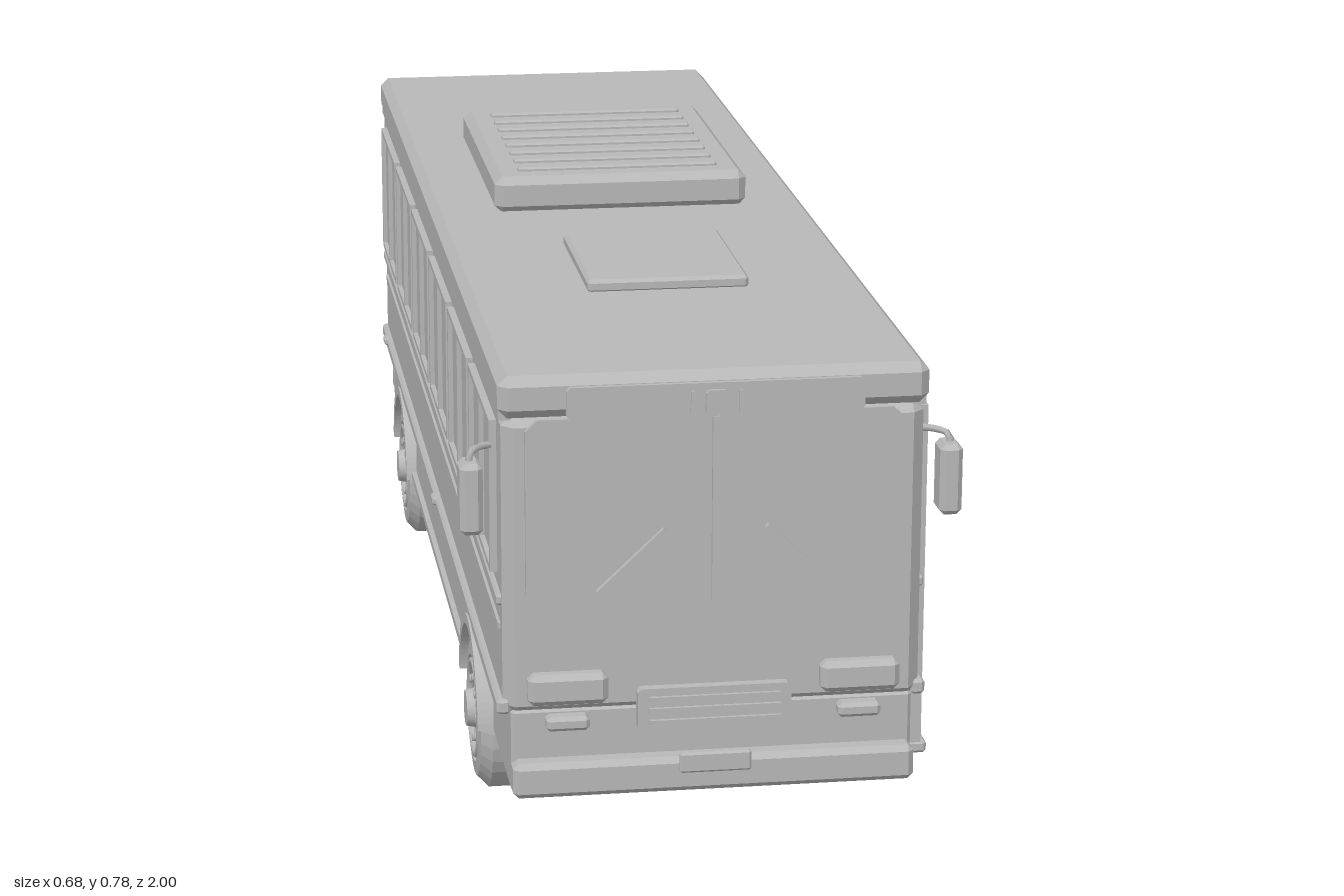
import * as THREE from 'three';
import { ConvexGeometry } from 'three/addons/geometries/ConvexGeometry.js';

const grey = new THREE.MeshStandardMaterial({ color: 0xb8b8b8 });
grey.name = 'plain grey';

// Box with chamfered edges, from its 24 corner points
function chamferBox(w, h, d, b) {
  const pts = [];
  for (const x of [-1, 1]) for (const y of [-1, 1]) for (const z of [-1, 1]) {
    const X = w / 2, Y = h / 2, Z = d / 2;
    pts.push(new THREE.Vector3(x * X, y * (Y - b), z * (Z - b)),
      new THREE.Vector3(x * (X - b), y * Y, z * (Z - b)),
      new THREE.Vector3(x * (X - b), y * (Y - b), z * Z));
  }
  return new ConvexGeometry(pts);
}

export function createModel() {
  const model = new THREE.Group();
  model.name = 'bus';

  const add = (name, geometry, parent = model) => {
    const mesh = new THREE.Mesh(geometry, grey);
    mesh.name = name;
    parent.add(mesh);
    return mesh;
  };
  // Box given by its limits on each axis
  const box = (name, x0, x1, y0, y1, z0, z1, bevel = 0, parent = model) => {
    const s = [x1 - x0, y1 - y0, z1 - z0];
    const mesh = add(name, bevel ? chamferBox(...s, bevel) : new THREE.BoxGeometry(...s), parent);
    mesh.position.set((x0 + x1) / 2, (y0 + y1) / 2, (z0 + z1) / 2);
    return mesh;
  };
  // Box on one side, s = 1 for left and -1 for right
  const sideBox = (name, s, a, b, ...rest) => box(name, Math.min(s * a, s * b), Math.max(s * a, s * b), ...rest);
  // Thin plate with cut corners, facing front or back
  const plate = (name, x0, x1, y0, y1, z0, z1, cut = 0.01) => {
    const shape = new THREE.Shape([[x0 + cut, y0], [x1 - cut, y0], [x1, y0 + cut], [x1, y1 - cut],
      [x1 - cut, y1], [x0 + cut, y1], [x0, y1 - cut], [x0, y0 + cut]].map(p => new THREE.Vector2(...p)));
    const mesh = add(name, new THREE.ExtrudeGeometry(shape, { depth: z1 - z0, bevelEnabled: false }));
    mesh.position.z = z0;
    return mesh;
  };

  // Shell and underside
  box('body', -0.285, 0.285, 0.24, 0.664, -0.97, 0.972, 0.016);
  box('roof', -0.29, 0.29, 0.66, 0.718, -0.967, 0.977, 0.013);
  box('chassis', -0.205, 0.205, 0.11, 0.17, -0.9, 0.9, 0.006);
  box('frontSkirt', -0.275, 0.275, 0.13, 0.25, 0.735, 0.968, 0.005);
  box('middleSkirt', -0.28, 0.28, 0.13, 0.25, -0.44, 0.47, 0.005);
  box('rearSkirt', -0.275, 0.275, 0.13, 0.25, -0.955, -0.75, 0.005);
  box('frontBumper', -0.275, 0.275, 0.13, 0.18, 0.95, 0.995, 0.008);
  box('rearBumper', -0.275, 0.275, 0.135, 0.18, -0.995, -0.95, 0.008);

  // Roof equipment
  box('roofUnit', -0.195, 0.195, 0.715, 0.772, -0.432, 0.072, 0.012);
  for (let i = 0; i < 8; i++) {
    const z = 0.02 - i * 0.0557;
    box('roofUnitSlat', -0.155, 0.155, 0.768, 0.778, z - 0.01, z + 0.01, 0.003);
  }
  box('roofHatch', -0.116, 0.116, 0.715, 0.735, 0.277, 0.557, 0.005);

  // Front face
  plate('windscreen', -0.255, 0.255, 0.4, 0.66, 0.97, 0.98, 0.016);
  box('windscreenDivider', -0.005, 0.005, 0.402, 0.658, 0.975, 0.986);
  plate('destinationSign', -0.2, 0.2, 0.66, 0.704, 0.965, 0.984, 0.005);
  plate('signBracket', -0.015, 0.015, 0.66, 0.695, 0.98, 0.99, 0.004);
  plate('grille', -0.105, 0.105, 0.218, 0.278, 0.965, 0.986, 0.005);
  for (const y of [0.231, 0.248, 0.264]) box('grilleSlat', -0.09, 0.09, y - 0.003, y + 0.003, 0.98, 0.991);
  box('frontPlate', -0.049, 0.049, 0.159, 0.188, 0.99, 1, 0.003);
  for (const s of [1, -1]) {
    sideBox('signClip', s, 0.03, 0.035, 0.662, 0.694, 0.98, 0.988);
    sideBox('headlight', s, 0.145, 0.254, 0.261, 0.305, 0.965, 0.992, 0.008);
    sideBox('foglight', s, 0.17, 0.229, 0.223, 0.243, 0.96, 0.988, 0.005);
    const wiper = box('wiper', -0.003, 0.003, -0.062, 0.062, -0.004, 0.004);
    wiper.position.set(s * 0.114, 0.461, 0.985);
    wiper.rotation.z = s * 0.815;
  }

  // Rear face
  plate('rearWindow', -0.25, 0.25, 0.45, 0.65, -0.98, -0.965, 0.016);
  plate('rearGrille', -0.19, 0.19, 0.24, 0.38, -0.975, -0.965, 0.006);
  for (let i = 0; i < 6; i++) {
    const y = 0.255 + i * 0.022;
    box('rearGrilleSlat', -0.18, 0.18, y - 0.005, y + 0.005, -0.983, -0.97, 0.003);
  }
  box('rearPlate', -0.049, 0.049, 0.147, 0.176, -1, -0.99, 0.003);
  for (const s of [1, -1]) for (const y of [0.235, 0.292, 0.349])
    sideBox('tailLight', s, 0.215, 0.26, y - 0.022, y + 0.022, -0.985, -0.96, 0.006);

  // Side rails, corner posts and mirrors
  for (const s of [1, -1]) {
    sideBox('gutter', s, 0.27, 0.288, 0.656, 0.67, -0.95, 0.96);
    sideBox('beltRail', s, 0.28, 0.292, 0.394, 0.409, -0.93, 0.95, 0.003);
    sideBox('thinRail', s, 0.28, 0.289, 0.358, 0.366, -0.92, 0.94);
    sideBox('lowerRail', s, 0.275, 0.294, 0.243, 0.264, -0.96, 0.965, 0.004);
    sideBox('skirtTrim', s, 0.27, 0.288, 0.133, 0.145, -0.44, 0.47);
    for (const z of [0.06, -0.87]) sideBox('sideMarker', s, 0.285, 0.299, 0.251, 0.264, z - 0.014, z + 0.014, 0.003);
    sideBox('mirror', s, 0.309, 0.34, 0.498, 0.597, 0.918, 0.965, 0.007);
    const arm = new THREE.CatmullRomCurve3([[0.275, 0.6, 0.89], [0.3, 0.606, 0.905], [0.325, 0.605, 0.94], [0.325, 0.59, 0.942]]
      .map(([x, y, z]) => new THREE.Vector3(s * x, y, z)));
    add('mirrorArm', new THREE.TubeGeometry(arm, 8, 0.005, 6));
  }

  // Side window: frame with two panes
  const sideWindow = (s, z) => {
    const g = new THREE.Group();
    g.name = 'sideWindow';
    model.add(g);
    const w = 0.138;
    sideBox('windowPanel', s, 0.28, 0.288, 0.43, 0.64, z - w, z + w, 0, g);
    for (const y of [0.43, 0.636]) sideBox('windowRail', s, 0.28, 0.295, y - 0.004, y + 0.004, z - w, z + w, 0, g);
    for (const k of [-1, 0, 1])
      sideBox('windowPost', s, 0.28, 0.295, 0.43, 0.64, z + k * (w - 0.004) - 0.005, z + k * (w - 0.004) + 0.005, 0, g);
  };
  for (const z of [0.465, 0.165, -0.455, -0.755]) sideWindow(1, z);
  for (const z of [0.765, 0.46, 0.155, -0.15, -0.455, -0.76]) sideWindow(-1, z);

  // Double doors, each leaf with an upper and a lower panel
  for (const z of [0.763, -0.147]) {
    const g = new THREE.Group();
    g.name = 'door';
    model.add(g);
    box('doorPanel', 0.265, 0.298, 0.142, 0.632, z - 0.13, z + 0.13, 0, g);
    for (const k of [-0.123, -0.008, 0.008, 0.123])
      box('doorPost', 0.29, 0.306, 0.142, 0.634, z + k - 0.007, z + k + 0.007, 0, g);
    for (const y of [0.15, 0.37, 0.626])
      box('doorRail', 0.29, 0.305, y - 0.008, y + 0.008, z - 0.13, z + 0.13, 0, g);
    box('doorStep', 0.25, 0.314, 0.128, 0.146, z - 0.132, z + 0.132, 0.004, g);
  }

  // Wheels with rims, nuts and arches
  const profile = (pts) => new THREE.LatheGeometry(pts.map(p => new THREE.Vector2(...p)), 32);
  const tyre = profile([[0, -0.034], [0.085, -0.034], [0.098, -0.03], [0.115, -0.016], [0.115, 0.016],
    [0.098, 0.032], [0.078, 0.034], [0.073, 0.024], [0, 0.024]]).toNonIndexed();
  tyre.computeVertexNormals();
  const hub = new THREE.CylinderGeometry(0.026, 0.03, 0.02, 20);
  const rim = new THREE.TorusGeometry(0.068, 0.006, 6, 32);
  const nut = new THREE.CylinderGeometry(0.006, 0.006, 0.012, 6);
  const arch = new THREE.Shape();
  arch.absarc(0, 0, 0.137, 0.12, Math.PI - 0.12, false);
  arch.absarc(0, 0, 0.122, Math.PI - 0.12, 0.12, true);
  const archGeometry = new THREE.ExtrudeGeometry(arch, { depth: 0.07, bevelEnabled: false, curveSegments: 20 });
  for (const s of [1, -1]) for (const z of [0.6, -0.57]) {
    const wheel = new THREE.Group();
    wheel.name = 'wheel';
    wheel.position.set(s * 0.257, 0.115, z);
    wheel.rotation.z = -s * Math.PI / 2;
    model.add(wheel);
    add('tyre', tyre, wheel);
    add('hub', hub, wheel).position.y = 0.034;
    const ring = add('rim', rim, wheel);
    ring.rotation.x = Math.PI / 2;
    ring.position.y = 0.03;
    for (let i = 0; i < 8; i++) {
      const a = i * Math.PI / 4;
      add('wheelNut', nut, wheel).position.set(0.046 * Math.cos(a), 0.029, 0.046 * Math.sin(a));
    }
    const fender = add('wheelArch', archGeometry);
    fender.rotation.y = Math.PI / 2;
    fender.position.set(s > 0 ? 0.227 : -0.297, 0.115, z);
  }
  // Axles
  for (const z of [0.6, -0.57]) box('axle', -0.23, 0.23, 0.1, 0.13, z - 0.015, z + 0.015);
  return model;
}
